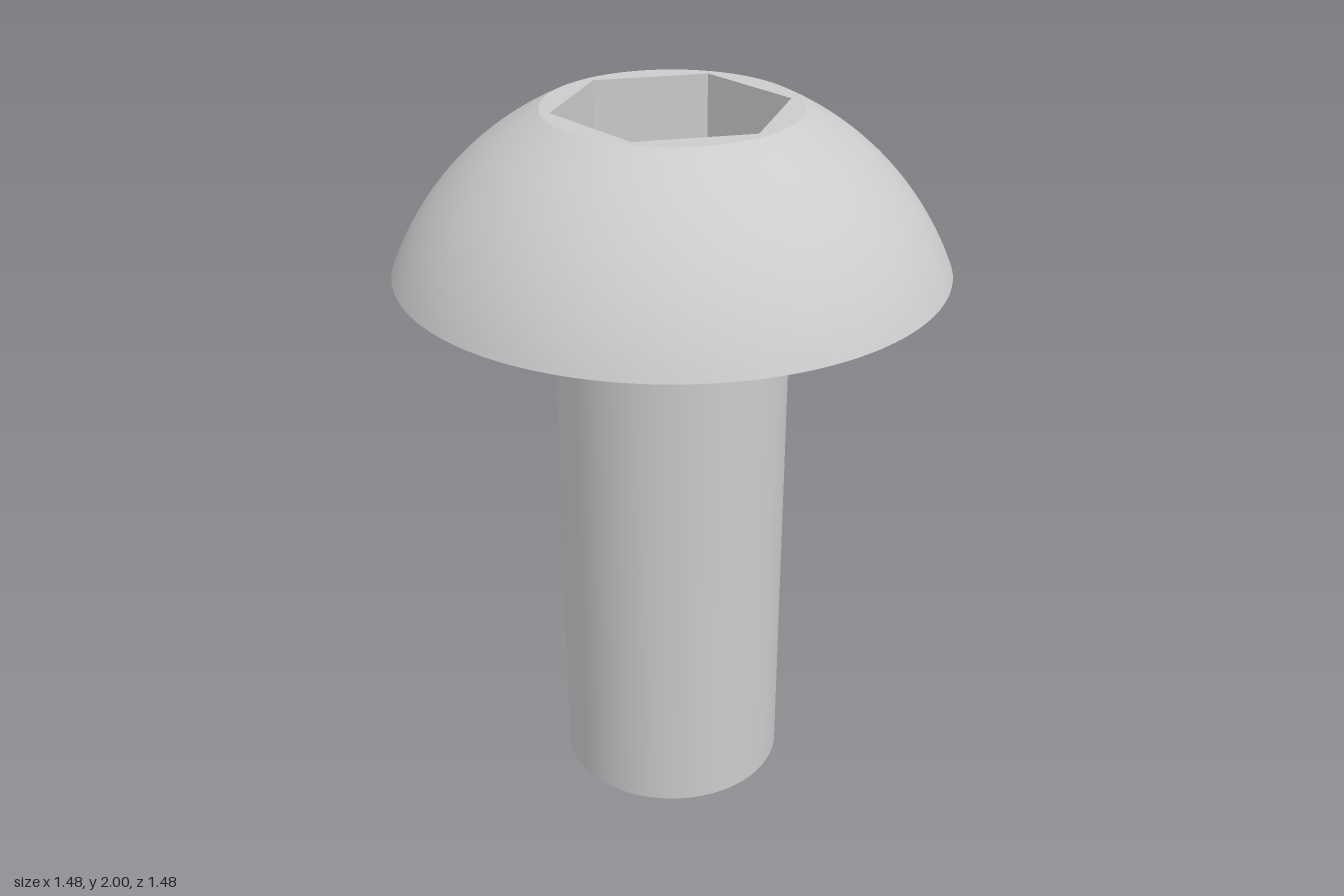
import * as THREE from 'three';

const HEAD_BASE = 1.574, TOP = 2, HEAD_R = 0.742, FLAT_R = 0.34;
const SHANK_R = 0.32, HEX_R = 0.315, SOCKET_DEPTH = 0.27, SEGMENTS = 96;

export function createModel() {
  const group = new THREE.Group();
  const material = new THREE.MeshStandardMaterial({ color: 0xcccccc });
  const flatMaterial = new THREE.MeshStandardMaterial({ color: 0xcccccc, flatShading: true });

  const add = (name, geometry, y = 0, mat = material) => {
    const mesh = new THREE.Mesh(geometry, mat);
    mesh.name = name;
    mesh.position.y = y;
    group.add(mesh);
    return mesh;
  };

  // Shank, ending at the underside of the head
  const shank = new THREE.CylinderGeometry(SHANK_R, SHANK_R, HEAD_BASE, SEGMENTS);
  add('shank', shank, HEAD_BASE / 2);

  // Domed head: spherical arc centred on the axis, through the rim and the top flat
  const centreY = (FLAT_R ** 2 + TOP ** 2 - HEAD_R ** 2 - HEAD_BASE ** 2) / (2 * (TOP - HEAD_BASE));
  const radius = Math.hypot(HEAD_R, HEAD_BASE - centreY);
  const start = Math.atan2(HEAD_BASE - centreY, HEAD_R);
  const end = Math.atan2(TOP - centreY, FLAT_R);
  const profile = [];
  for (let i = 0; i <= 24; i++) {
    const a = THREE.MathUtils.lerp(start, end, i / 24);
    profile.push(new THREE.Vector2(radius * Math.cos(a), centreY + radius * Math.sin(a)));
  }
  add('headDome', new THREE.LatheGeometry(profile, SEGMENTS));

  // Flat bearing face under the head
  const underside = new THREE.RingGeometry(SHANK_R, HEAD_R, SEGMENTS).rotateX(Math.PI / 2);
  add('headUnderside', underside, HEAD_BASE);

  // Flat top with the hexagonal opening
  const hexagon = Array.from({ length: 6 }, (_, i) => {
    const a = (i * Math.PI) / 3;
    return new THREE.Vector2(HEX_R * Math.cos(a), HEX_R * Math.sin(a));
  });
  const face = new THREE.Shape().absarc(0, 0, FLAT_R, 0, Math.PI * 2);
  face.holes.push(new THREE.Path(hexagon));
  add('headTop', new THREE.ShapeGeometry(face, SEGMENTS / 2).rotateX(-Math.PI / 2), TOP);

  // Socket walls face inward (mirrored in x to turn the faces round)
  const walls = new THREE.CylinderGeometry(HEX_R, HEX_R, SOCKET_DEPTH, 6, 1, true).rotateY(Math.PI / 2);
  const wallMaterial = flatMaterial.clone();
  wallMaterial.side = THREE.DoubleSide;
  add('socketWalls', walls, TOP - SOCKET_DEPTH / 2, wallMaterial);

  // Socket floor
  const floor = new THREE.ShapeGeometry(new THREE.Shape(hexagon)).rotateX(-Math.PI / 2);
  add('socketFloor', floor, TOP - SOCKET_DEPTH);

  return group;
}
